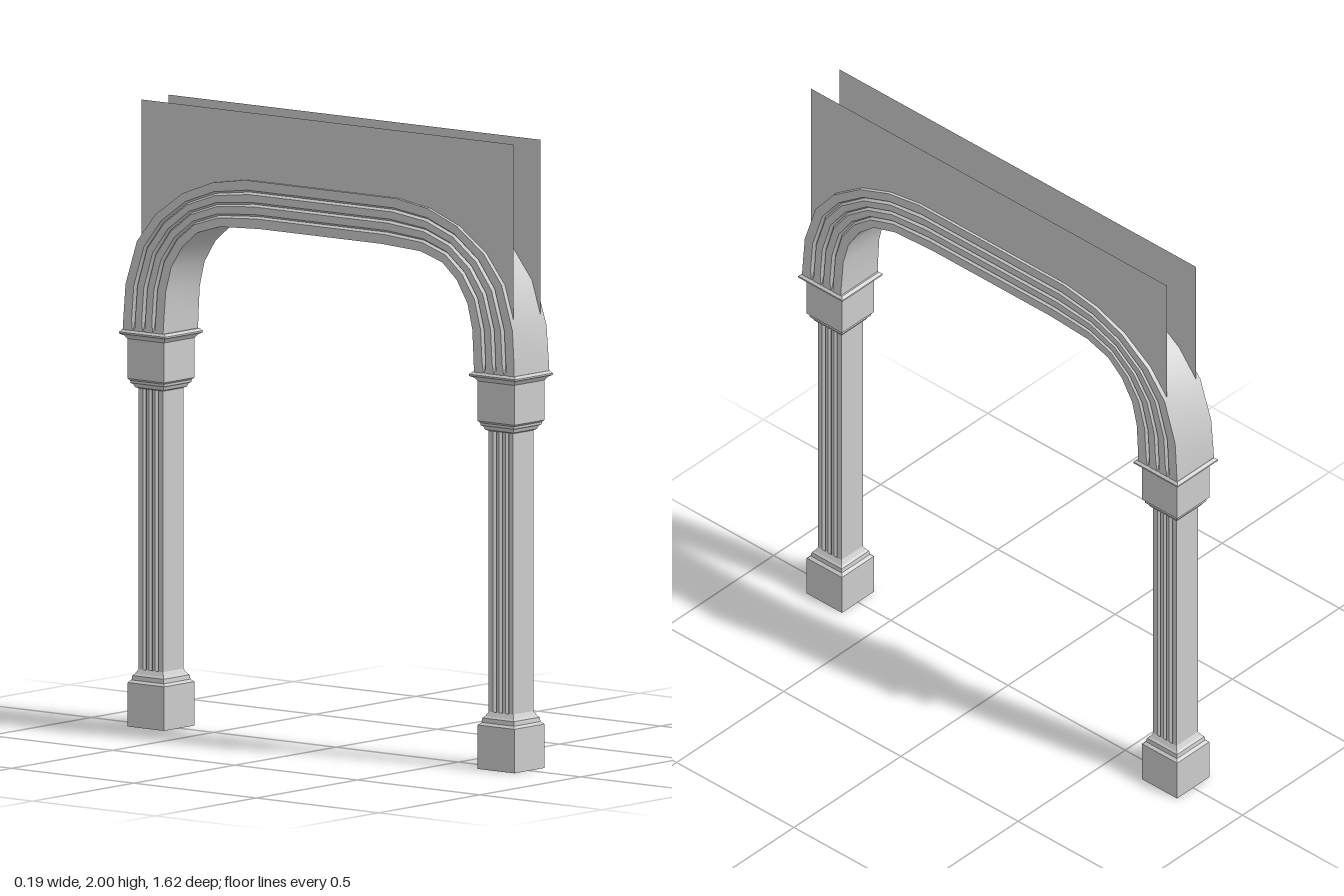
import * as THREE from 'three';
import { toCreasedNormals } from 'three/addons/utils/BufferGeometryUtils.js';

const material = new THREE.MeshStandardMaterial({ color: 0xcccccc, side: THREE.DoubleSide });
const flat = new THREE.MeshStandardMaterial({ color: 0xcccccc, side: THREE.DoubleSide, flatShading: true });
const COLUMN_Z = 0.715;

// Half of the arch: [inner z, inner y, outer z, outer y] from springing to crown
const halfArch = [
  [0.635, 1.255, 0.8, 1.255],
  [0.633, 1.3, 0.798, 1.3],
  [0.626, 1.4, 0.79, 1.41],
  [0.605, 1.48, 0.745, 1.55],
  [0.56, 1.55, 0.67, 1.643],
  [0.5, 1.6, 0.56, 1.72],
  [0.41, 1.627, 0.44, 1.765],
  [0.25, 1.635, 0.31, 1.785],
];

function mesh(name, geometry, mat = material) {
  const m = new THREE.Mesh(geometry, mat);
  m.name = name;
  return m;
}

// Face profile across a width of 1: [position, groove depth 0 or 1]
function groovedProfile(halfWidth) {
  const pts = [[0, 0]];
  for (const u of [0.25, 0.5, 0.75]) pts.push([u - halfWidth, 0], [u, 1], [u + halfWidth, 0]);
  pts.push([1, 0]);
  return pts;
}

// Square moulding turned from [half width, y] steps
function squareMoulding(steps) {
  const pts = steps.map(([h, y]) => new THREE.Vector2(h * Math.SQRT2, y));
  return new THREE.LatheGeometry(pts, 4, Math.PI / 4);
}

// Shaft with vertical grooves on its two x faces
function shaftGeometry() {
  const w = 0.05, depth = 0.007;
  const side = groovedProfile(0.07).map(([u, d]) => [w - d * depth, (u - 0.5) * 2 * w]);
  const outline = [...side, ...side.map(([x, y]) => [-x, -y])];
  const shape = new THREE.Shape(outline.map(([x, y]) => new THREE.Vector2(x, y)));
  const g = new THREE.ExtrudeGeometry(shape, { depth: 0.92, bevelEnabled: false });
  return g.rotateX(-Math.PI / 2).translate(0, 0.17, 0);
}

// Arch lofted from grooved cross-sections, slightly narrower at the crown
function archGeometry() {
  const mirrored = halfArch.map(([a, b, c, d]) => [-a, b, -c, d]).reverse();
  const stations = [...halfArch, ...mirrored];
  const profile = groovedProfile(0.045);
  const positions = [], index = [];
  const n = profile.length * 2;
  stations.forEach(([iz, iy, oz, oy], j) => {
    const t = Math.min(j, stations.length - 1 - j) / (halfArch.length - 1);
    const w = 0.087 - 0.01 * t;
    const depth = t === 0 ? 0 : 0.009;
    const put = (sign) => ([u, d]) =>
      positions.push(sign * (w - d * depth), iy + (oy - iy) * u, iz + (oz - iz) * u);
    profile.forEach(put(1));
    [...profile].reverse().forEach(put(-1));
    if (j === 0) return;
    for (let i = 0; i < n; i++) {
      const k = (i + 1) % n;
      const a = (j - 1) * n + i, b = (j - 1) * n + k, c = j * n + k, d = j * n + i;
      index.push(a, c, b, a, d, c);
    }
  });
  const g = new THREE.BufferGeometry();
  g.setAttribute('position', new THREE.Float32BufferAttribute(positions, 3));
  g.setIndex(index);
  return toCreasedNormals(g, 0.5);
}

// Thin wall sheet whose lower edge is buried in the arch
function wallGeometry() {
  const mid = halfArch.slice(3).map(([iz, iy, oz, oy]) => [iz + (oz - iz) * 0.8, iy + (oy - iy) * 0.8]);
  const outline = [
    [0.78, 2], [0.78, 1.4], ...mid,
    ...mid.map(([z, y]) => [-z, y]).reverse(), [-0.74, 1.53], [-0.74, 2],
  ];
  const shape = new THREE.Shape(outline.map(([z, y]) => new THREE.Vector2(-z, y)));
  return new THREE.ShapeGeometry(shape).rotateY(Math.PI / 2);
}

function createColumn() {
  const column = new THREE.Group();
  column.name = 'column';
  column.add(
    mesh('base', squareMoulding([
      [0.075, 0], [0.075, 0.14], [0.066, 0.148], [0.064, 0.162], [0.058, 0.168], [0.05, 0.182],
    ]), flat),
    mesh('shaft', shaftGeometry(), flat),
    mesh('capital', squareMoulding([
      [0.05, 1.076], [0.058, 1.08], [0.062, 1.09], [0.068, 1.094], [0.069, 1.102], [0.075, 1.108],
      [0.075, 1.235], [0.082, 1.245], [0.094, 1.252], [0.094, 1.257], [0.086, 1.265], [0, 1.265],
    ]), flat),
  );
  return column;
}

export function createModel() {
  const model = new THREE.Group();
  model.name = 'archway';
  for (const s of [1, -1]) {
    const column = createColumn();
    column.position.z = s * COLUMN_Z;
    column.name = s > 0 ? 'frontColumn' : 'backColumn';
    model.add(column);

    const wall = mesh(s > 0 ? 'leftWall' : 'rightWall', wallGeometry());
    wall.position.x = s * 0.067;
    model.add(wall);
  }
  model.add(mesh('arch', archGeometry()));
  return model;
}
